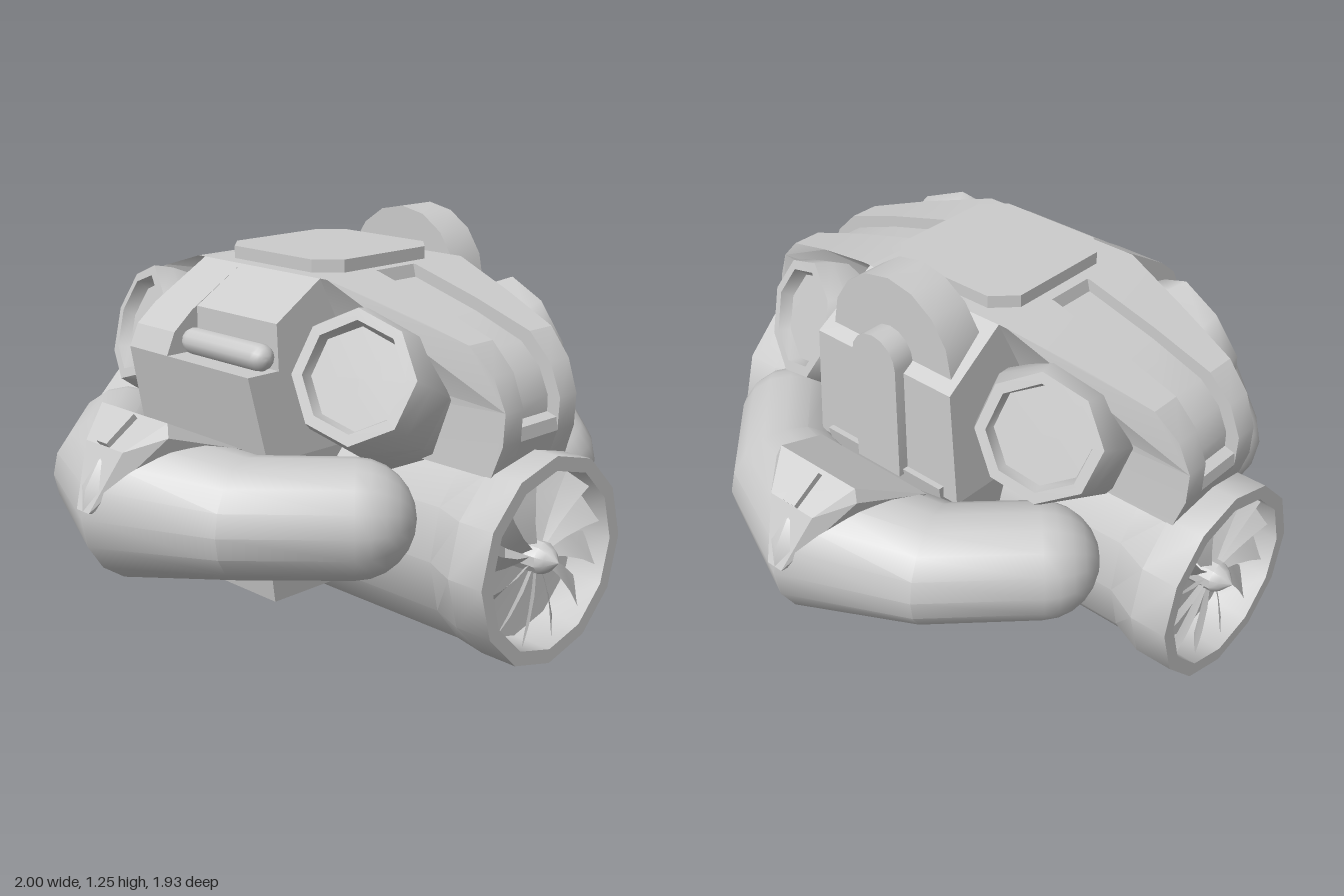
import * as THREE from 'three';
import { toCreasedNormals } from 'three/addons/utils/BufferGeometryUtils.js';
import { ConvexGeometry } from 'three/addons/geometries/ConvexGeometry.js';

const grey = new THREE.MeshStandardMaterial({ color: 0xcccccc });
const thin = new THREE.MeshStandardMaterial({ color: 0xcccccc, side: THREE.DoubleSide });
const V = (x, y, z) => new THREE.Vector3(x, y, z);

function add(parent, name, geometry, crease = 0.6, material = grey) {
  const mesh = new THREE.Mesh(toCreasedNormals(geometry, crease), material);
  mesh.name = name;
  parent.add(mesh);
  return mesh;
}

// Move every vertex by a rule
function warp(geometry, rule) {
  const p = geometry.attributes.position, v = V(0, 0, 0);
  for (let i = 0; i < p.count; i++) {
    v.fromBufferAttribute(p, i);
    rule(v);
    p.setXYZ(i, v.x, v.y, v.z);
  }
  return geometry;
}

const extrude = (points, depth) => new THREE.ExtrudeGeometry(
  new THREE.Shape(points.map(([x, y]) => new THREE.Vector2(x, y))), { depth, bevelEnabled: false });
// Side profile (z, y) swept along x
const sweepX = (points, x0, x1) => extrude(points, x1 - x0).rotateY(Math.PI / 2).translate(x0, 0, 0);
// Cross-section (x, y) swept along z
const sweepZ = (points, z0, z1) => extrude(points, z1 - z0).translate(0, 0, z0);
const mirrored = half => [...half, ...half.slice().reverse().map(([a, b]) => [-a, b])];
const lathe = (points, sides) => new THREE.LatheGeometry(points.map(([r, h]) => new THREE.Vector2(r, h)), sides);

// Lofted tube through stations { x, y, z, angle, rx, ry }
function loft(stations, sides) {
  const pos = [], index = [];
  stations.forEach(s => {
    for (let j = 0; j < sides; j++) {
      const a = j / sides * Math.PI * 2, c = Math.cos(a) * s.rx;
      pos.push(s.x + Math.cos(s.angle) * c, s.y + Math.sin(a) * s.ry, s.z + Math.sin(s.angle) * c);
    }
  });
  for (let i = 0; i < stations.length - 1; i++) for (let j = 0; j < sides; j++) {
    const a = i * sides + j, b = i * sides + (j + 1) % sides;
    index.push(a, a + sides, b, b, a + sides, b + sides);
  }
  const g = new THREE.BufferGeometry();
  g.setAttribute('position', new THREE.Float32BufferAttribute(pos, 3));
  g.setIndex(index);
  return g;
}

function makeTurbine() {
  const g = new THREE.Group();
  g.name = 'turbine';
  const end = [[0, 0.8], [0.28, 0.81], [0.28, 0.945], [0.325, 0.945], [0.325, 0.82], [0.325, 0.7]];
  const profile = [...end.map(([r, h]) => [r, -h]), ...end.slice().reverse()];
  const shell = lathe(profile, 12).rotateX(Math.PI / 2);
  // The casing is pinched between its two end rings
  warp(shell, v => { if (Math.abs(v.z) < 0.75) v.x *= 0.82; }).translate(0, 0.33, 0);
  add(g, 'turbineCasing', shell);
  for (const turn of [0, Math.PI]) {
    const fan = new THREE.Group();
    fan.name = 'fan';
    fan.position.y = 0.33;
    fan.rotation.y = turn;
    add(fan, 'fanHub', lathe([[0.05, 0.8], [0.05, 0.91], [0.035, 0.935], [0, 0.965]], 10).rotateX(Math.PI / 2));
    for (let i = 0; i < 12; i++) {
      const blade = new THREE.PlaneGeometry(1, 0.24, 1, 3);
      // Each blade widens outward, twists and sweeps
      warp(blade, v => {
        const t = (v.y + 0.12) / 0.24, w = v.x * (0.03 + 0.09 * t);
        const twist = 0.9 - 0.3 * t;
        v.set(w * Math.cos(twist) + 0.05 * t * t, 0.035 + t * 0.24, 0.88 + w * Math.sin(twist));
      });
      add(fan, 'fanBlade', blade, 0.6, thin).rotation.z = i / 12 * Math.PI * 2;
    }
    g.add(fan);
  }
  return g;
}

function makeHull() {
  const g = new THREE.Group();
  g.name = 'hull';
  // Central ridge: two tapered rails with a recessed channel between them
  const railHalf = [[0.84, 0.6], [0.875, 0.7], [0.88, 0.8], [0.84, 0.9], [0.76, 0.98], [0.55, 1.05], [0.3, 1.12]];
  const outer = z => z < 0.3 ? 0.3 : z < 0.7 ? 0.3 - (z - 0.3) * 0.25 : 0.2 - (z - 0.7) * 0.2;
  for (const turn of [0, Math.PI]) {
    const rail = warp(sweepX(mirrored(railHalf), 0, 1), v => {
      v.x = 0.085 + v.x * (outer(Math.abs(v.z)) - 0.085);
    });
    add(g, 'ridgeRail', rail, 0.45).rotation.y = turn;
  }
  const channelHalf = [[0.84, 0.6], [0.875, 0.7], [0.87, 0.74], [0.835, 0.75], [0.835, 0.8], [0.8, 0.88],
    [0.73, 0.945], [0.55, 1.01], [0.3, 1.08], [0.29, 1.12]];
  add(g, 'ridgeChannel', sweepX(mirrored(channelHalf), -0.085, 0.085), 0.45);

  // Shoulders across the middle, with a notch on one flank
  const flare = v => { v.z *= 1 + (1.1 - v.y) * 0.2; };
  const plain = [[-0.3, 1.12], [-0.5, 1.0], [-0.57, 0.94], [-0.6, 0.87], [-0.54, 0.6], [0.52, 0.6], [0.52, 0.98], [0.3, 1.12]];
  const notched = [[-0.3, 1.12], [-0.48, 1.01], [-0.48, 0.87], [-0.6, 0.87], [-0.54, 0.6], [0.52, 0.6], [0.52, 0.98], [0.3, 1.12]];
  add(g, 'shoulderBack', warp(sweepZ(plain, -0.27, -0.09), flare), 0.2);
  add(g, 'shoulderFront', warp(sweepZ(notched, -0.09, 0.27), flare), 0.2);
  const pipe = new THREE.CapsuleGeometry(0.042, 0.3, 5, 12).rotateX(Math.PI / 2).translate(-0.515, 0.91, 0.09);
  add(g, 'flankPipe', pipe, 0.8);

  // Keel block under the shoulders
  const keel = sweepZ([[-0.43, 0.1], [0.43, 0.1], [0.54, 0.64], [-0.54, 0.64]], -0.2, 0.2);
  add(g, 'keelBlock', warp(keel, v => { v.z *= 1 + (v.y - 0.1) * 0.4; }), 0.2);

  // Roof hatch
  const hatch = mirrored([[0.18, -0.25], [0.25, -0.18], [0.25, 0.18], [0.18, 0.25]]);
  add(g, 'roofHatch', extrude(hatch, 0.07).rotateX(-Math.PI / 2).translate(0, 1.09, 0), 0.2);

  // Half disc and round-topped slab on the other flank
  const arch = (r, y, sides, base, spread) => {
    const pts = [[spread, base]];
    for (let i = 0; i <= sides; i++) {
      const a = i / sides * Math.PI;
      pts.push([Math.cos(a) * r, y + Math.sin(a) * r]);
    }
    pts.push([-spread, base]);
    return pts;
  };
  add(g, 'flankDisc', sweepX(arch(0.245, 1.005, 8, 0.9, 0.26), 0.34, 0.48));
  add(g, 'flankSlab', sweepX(arch(0.09, 1.0, 8, 0.62, 0.09), 0.46, 0.555));
  return g;
}

function makeNozzle(sx, sz) {
  const n = lathe([[0.22, -0.32], [0.235, -0.16], [0.22, -0.06], [0.2, 0], [0.165, 0], [0.155, -0.04], [0, -0.04]], 8);
  n.rotateY(Math.PI / 8);
  const axis = V(sx * 0.9, 0.3, sz * 0.3).normalize();
  n.applyQuaternion(new THREE.Quaternion().setFromUnitVectors(V(0, 1, 0), axis));
  n.translate(sx * 0.4, 0.88, sz * 0.51);
  // The base of the horn sags toward the hull
  return warp(n, v => { v.y -= Math.max(0, 0.34 - Math.abs(v.x)) * 0.25; });
}

function makeArm() {
  const g = new THREE.Group();
  g.name = 'sideArm';
  // Bent tube: domed end, straight run, mitre, widened elbow
  const half = [];
  const r = 0.18, s = Math.SQRT1_2;
  for (let i = 0; i <= 6; i++) {
    const a = (1 - i / 6) * Math.PI / 2, k = Math.sin(a) * r * s, q = Math.max(0.001, Math.cos(a) * r);
    half.push({ x: 0.43 - k, y: 0.47, z: 0.55 + k, angle: Math.PI / 4, rx: q, ry: q });
  }
  half.push({ x: 0.65, y: 0.47, z: 0.325, angle: Math.PI / 8, rx: 0.195, ry: 0.182 });
  const elbow = { x: 0.77, y: 0.465, z: 0, angle: 0, rx: 0.23, ry: 0.235 };
  const other = half.slice().reverse().map(p => ({ ...p, z: -p.z, angle: -p.angle }));
  add(g, 'armTube', loft([...half, elbow, ...other], 16), 0.5);

  // Faceted elbow guard with a raised fin
  const guard = [V(0.6, 0.4, 0)];
  for (const k of [-1, 1]) {
    guard.push(V(0.58, 0.64, k * 0.23), V(0.8, 0.75, k * 0.16), V(0.81, 0.71, k * 0.175),
      V(0.91, 0.67, k * 0.09), V(0.995, 0.49, k * 0.03));
  }
  add(g, 'elbowGuard', new ConvexGeometry(guard), 0.1);
  const fin = new THREE.BoxGeometry(0.12, 0.04, 0.05);
  warp(fin, v => { if (v.x < 0) v.z *= 1.3; });
  add(g, 'elbowFin', fin.rotateZ(-0.65).translate(0.86, 0.705, 0), 0.2);
  return g;
}

export function createModel() {
  const model = new THREE.Group();
  model.name = 'engineUnit';
  model.add(makeTurbine(), makeHull());
  for (const sx of [-1, 1]) {
    for (const sz of [-1, 1]) add(model, 'nozzle', makeNozzle(sx, sz), 0.85);
    const arm = makeArm();
    if (sx < 0) arm.rotation.y = Math.PI;
    model.add(arm);
  }
  return model;
}
